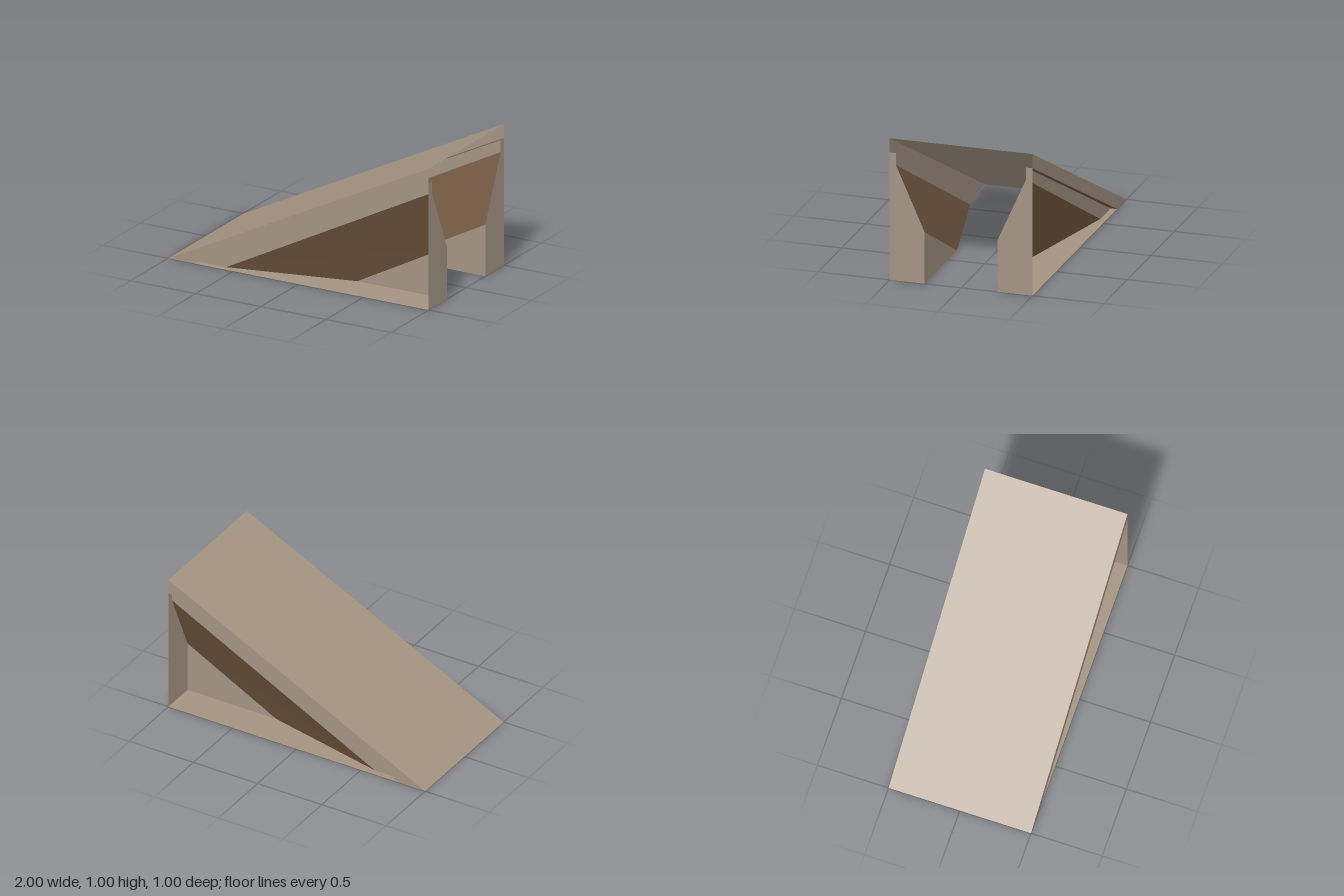
import * as THREE from 'three';

// Flat polygon as a fan around its first corner
function face(name, material, corners, side = 1) {
  const pts = corners.map(([x, y, z]) => [x, y, z * side]);
  if (side < 0) pts.push(...pts.splice(1).reverse());
  const positions = [];
  for (let i = 1; i < pts.length - 1; i++) positions.push(...pts[0], ...pts[i], ...pts[i + 1]);
  const geometry = new THREE.BufferGeometry();
  geometry.setAttribute('position', new THREE.Float32BufferAttribute(positions, 3));
  geometry.computeVertexNormals();
  const mesh = new THREE.Mesh(geometry, material);
  mesh.name = name;
  return mesh;
}

export function createModel() {
  const tan = new THREE.MeshStandardMaterial({ color: 0xa39382, side: THREE.DoubleSide });
  tan.name = 'tan';
  const brown = new THREE.MeshStandardMaterial({ color: 0x735840, side: THREE.DoubleSide });
  brown.name = 'brown';

  const model = new THREE.Group();
  model.name = 'ramp';

  const edge = 0.5;    // outer side
  const upper = 0.455; // upper wall
  const lower = 0.255; // lower wall

  // Sloping deck, a single open sheet
  model.add(face('deck', tan, [[-1, 0, edge], [1, 1, edge], [1, 1, -edge], [-1, 0, -edge]]));

  // Recessed side supports, mirrored
  for (const side of [1, -1]) {
    const support = new THREE.Group();
    support.name = side > 0 ? 'frontSupport' : 'backSupport';
    const add = (name, material, corners) => support.add(face(name, material, corners, side));

    add('deckRim', tan, [[-1, 0, edge], [-0.8, 0, edge], [1, 0.9, edge], [1, 1, edge]]);
    add('rimLedge', brown, [[1, 0.9, edge], [-0.8, 0, edge], [-0.8, 0, upper], [1, 0.9, upper]]);
    add('upperWall', tan, [[-0.8, 0, upper], [-0.58, 0, upper], [1, 0.815, upper], [1, 0.9, upper]]);
    add('slopedPanel', brown, [[-0.58, 0, upper], [0.31, 0, lower], [1, 0.365, lower], [1, 0.815, upper]]);
    add('lowerWall', tan, [[0.31, 0, lower], [1, 0, lower], [1, 0.365, lower]]);
    add('footPlate', tan, [
      [1, 0, edge], [-0.8, 0, edge], [-0.8, 0, upper],
      [-0.58, 0, upper], [0.31, 0, lower], [1, 0, lower],
    ]);
    add('endPlate', tan, [
      [1, 0, edge], [1, 0, lower], [1, 0.365, lower],
      [1, 0.815, upper], [1, 0.9, upper], [1, 0.9, edge],
    ]);
    model.add(support);
  }
  return model;
}
